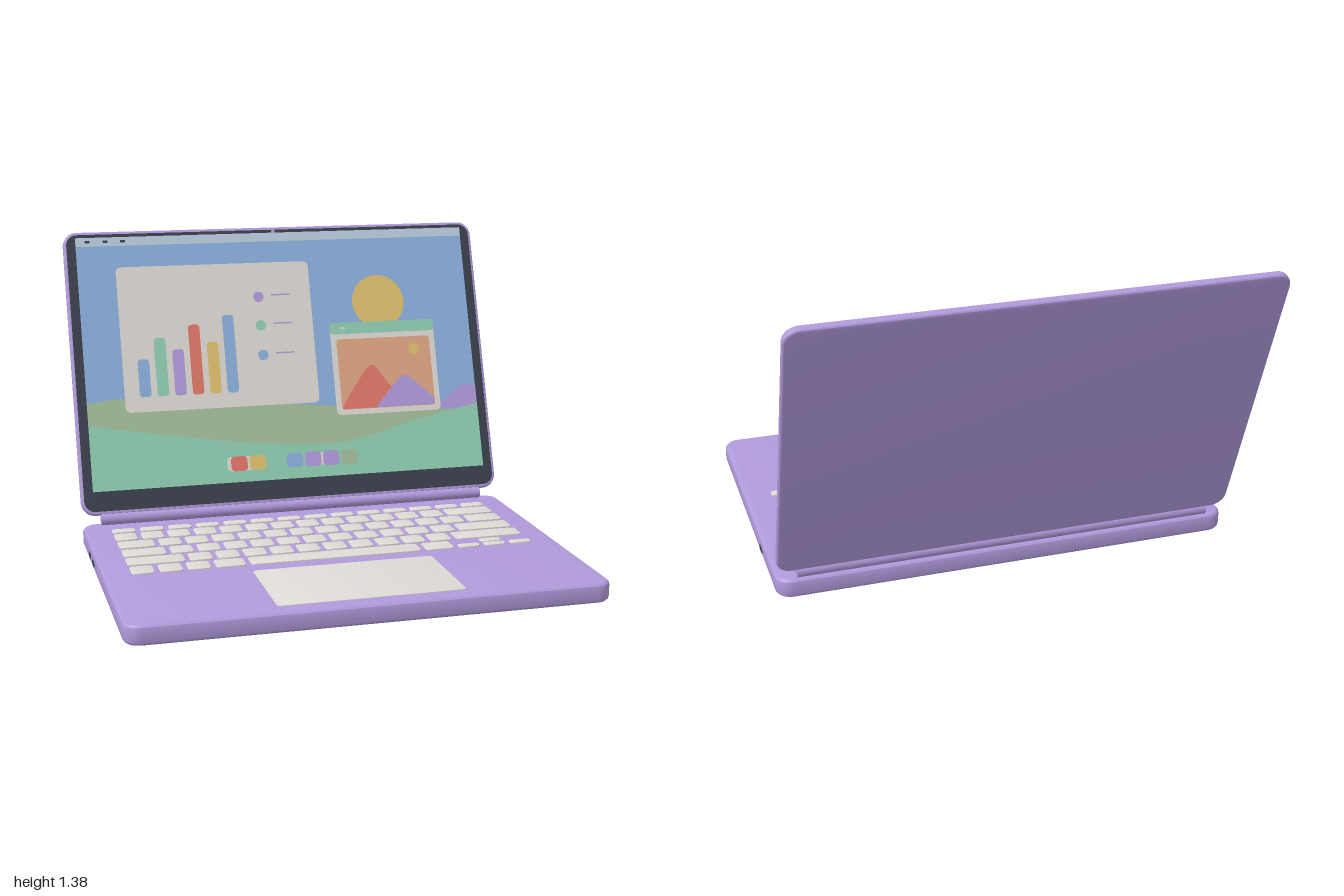
import * as THREE from 'three';
import { toCreasedNormals } from 'three/addons/utils/BufferGeometryUtils.js';

const COLORS = {
  lilac: 0xb09adb, offWhite: 0xdedad5, darkGlass: 0x3a3f4b, skyBlue: 0x8cb0de, mint: 0x90ceb2,
  olive: 0xa4be9b, yellow: 0xdfc06c, red: 0xe07868, orange: 0xdfa685, paleBlue: 0xbacddf,
};

export function createModel() {
  const M = {};
  for (const [name, color] of Object.entries(COLORS)) {
    M[name] = new THREE.MeshStandardMaterial({ color });
    M[name].name = name;
  }
  const model = new THREE.Group();
  model.name = 'laptop';

  const add = (parent, name, geo, mat) => {
    const mesh = new THREE.Mesh(geo, mat);
    mesh.name = name;
    parent.add(mesh);
    return mesh;
  };

  // Rounded rectangle centred on the origin
  const roundRect = (w, h, r) => {
    const s = new THREE.Shape(), x = w / 2, y = h / 2;
    r = Math.min(r, x, y);
    s.moveTo(-x + r, -y);
    s.lineTo(x - r, -y).absarc(x - r, -y + r, r, -Math.PI / 2, 0);
    s.lineTo(x, y - r).absarc(x - r, y - r, r, 0, Math.PI / 2);
    s.lineTo(-x + r, y).absarc(-x + r, y - r, r, Math.PI / 2, Math.PI);
    s.lineTo(-x, -y + r).absarc(-x + r, -y + r, r, Math.PI, Math.PI * 1.5);
    return s;
  };

  // Bevelled slab, thickness t along z, centred
  const slab = (w, h, r, t, b, curveSegments = 6) => {
    const g = new THREE.ExtrudeGeometry(roundRect(w - 2 * b, h - 2 * b, Math.max(r - b, 0.002)), {
      depth: t - 2 * b, bevelEnabled: true, bevelSize: b, bevelThickness: b, bevelSegments: 3, curveSegments,
    });
    g.translate(0, 0, -(t - 2 * b) / 2);
    return toCreasedNormals(g, 0.5);
  };
  const flatSlab = (...args) => slab(...args).rotateX(-Math.PI / 2);

  // ---- Base ----
  const base = new THREE.Group();
  base.name = 'base';
  model.add(base);
  add(base, 'baseShell', flatSlab(1.994, 1.38, 0.07, 0.085, 0.02), M.lilac).position.set(0, 0.0555, 0.22);
  add(base, 'trackpad', flatSlab(0.78, 0.445, 0.02, 0.01, 0.003), M.offWhite).position.set(0, 0.0965, 0.612);

  for (const x of [-0.81, 0.81]) for (const z of [-0.33, 0.77]) {
    add(base, 'foot', new THREE.CylinderGeometry(0.034, 0.03, 0.018, 20), M.darkGlass).position.set(x, 0.009, z);
  }
  for (const [side, z] of [[1, -0.092], [-1, -0.145], [-1, -0.03]]) {
    const port = add(base, 'port', slab(0.058, 0.024, 0.012, 0.008, 0.002), M.darkGlass);
    port.rotation.y = side * Math.PI / 2;
    port.position.set(side * 0.996, 0.05, z);
  }

  // ---- Keyboard: widths in key units, rows from back to front ----
  const keyboard = new THREE.Group();
  keyboard.name = 'keyboard';
  base.add(keyboard);
  const unit = 0.1187, gap = 0.021, startX = -0.88;
  const key = (u0, u, z0, z1) => {
    const w = u * unit - gap;
    add(keyboard, 'key', flatSlab(w, z1 - z0, 0.016, 0.014, 0.004, 3), M.offWhite)
      .position.set(startX + u0 * unit + w / 2, 0.098, (z0 + z1) / 2);
  };
  const ones = (n) => Array(n).fill(1);
  const rows = [
    [-0.33, -0.277, Array(14).fill(15 / 14)],
    [-0.256, -0.16, [...ones(13), 2]],
    [-0.139, -0.043, [1.5, ...ones(12), 1.5]],
    [-0.018, 0.078, [1.75, ...ones(11), 2.25]],
    [0.1, 0.197, [2.25, ...ones(10), 2.75]],
    [0.219, 0.315, [1, 1, 1, 1.25, 6.5, 1.25]],
  ];
  for (const [z0, z1, widths] of rows) {
    let u = 0;
    for (const w of widths) { key(u, w, z0, z1); u += w; }
  }
  for (const u of [12, 13, 14]) key(u, 1, 0.273, 0.315);
  key(13, 1, 0.219, 0.261);

  // ---- Hinge ----
  const hinge = add(model, 'hinge', new THREE.CylinderGeometry(0.028, 0.028, 1.82, 24), M.lilac);
  hinge.rotation.z = Math.PI / 2;
  hinge.position.set(0, 0.123, -0.438);

  // ---- Lid, leaning back about the hinge ----
  const lid = new THREE.Group();
  lid.name = 'lid';
  lid.position.set(0, 0.123, -0.436);
  lid.rotation.x = -THREE.MathUtils.degToRad(20);
  model.add(lid);
  add(lid, 'lidShell', slab(1.994, 1.315, 0.065, 0.036, 0.011), M.lilac).position.y = 0.6755;

  // Flat faces stacked in layers on the front of the lid
  const face = (name, shape, mat, layer, x = 0, y = 0) =>
    add(lid, name, new THREE.ShapeGeometry(shape, 10), mat).position.set(x, y, 0.0185 + layer * 0.0016);
  const panel = (name, x0, x1, y0, y1, r, mat, layer) =>
    face(name, roundRect(x1 - x0, y1 - y0, r), mat, layer, (x0 + x1) / 2, (y0 + y1) / 2);
  const disc = (name, x, y, r, mat, layer) =>
    face(name, new THREE.Shape().absarc(0, 0, r, 0, Math.PI * 2), mat, layer, x, y);
  const hill = (name, floor, pts, mat, layer) => {
    const v = pts.map(([x, y]) => new THREE.Vector2(x, y));
    const s = new THREE.Shape();
    s.moveTo(v[0].x, floor);
    s.lineTo(v[0].x, v[0].y);
    s.splineThru(v.slice(1));
    s.lineTo(v[v.length - 1].x, floor);
    face(name, s, mat, layer);
  };

  panel('screenGlass', -0.983, 0.983, 0.034, 1.319, 0.05, M.darkGlass, 0);
  disc('camera', 0, 1.311, 0.009, M.lilac, 1);
  panel('sky', -0.941, 0.941, 0.124, 1.304, 0.002, M.skyBlue, 1);
  panel('menuBar', -0.941, 0.941, 1.262, 1.304, 0.002, M.paleBlue, 2);
  for (const x of [-0.886, -0.803, -0.722]) panel('menuItem', x - 0.012, x + 0.012, 1.278, 1.29, 0.004, M.darkGlass, 3);

  // Landscape
  hill('farHill', 0.415, [[0.72, 0.4151], [0.8, 0.475], [0.88, 0.525], [0.941, 0.516]], M.lilac, 2.5);
  hill('middleHill', 0.124, [[-0.941, 0.5275], [-0.74, 0.543], [-0.31, 0.516], [0.24, 0.454], [0.75, 0.41], [0.941, 0.425]], M.olive, 2);
  hill('nearHill', 0.124, [[-0.941, 0.425], [-0.203, 0.306], [0.235, 0.279], [0.6, 0.36], [0.941, 0.43]], M.mint, 3);
  disc('sun', 0.489, 0.95, 0.13, M.yellow, 2);

  // Chart window
  panel('chartWindow', -0.765, 0.155, 0.476, 1.159, 0.025, M.offWhite, 4);
  const bars = [['skyBlue', 0.721], ['mint', 0.818], ['lilac', 0.761], ['red', 0.874], ['yellow', 0.789], ['skyBlue', 0.914]];
  bars.forEach(([c, top], i) => {
    const x = -0.668 + i * 0.0825;
    panel('chartBar', x - 0.027, x + 0.027, 0.545, top, 0.015, M[c], 5);
  });
  for (const [c, y] of [['lilac', 0.994], ['mint', 0.857], ['skyBlue', 0.715]]) {
    disc('legendDot', -0.099, y, 0.025, M[c], 5);
    panel('legendLine', -0.037, 0.053, y + 0.004, y + 0.011, 0.003, M.lilac, 5);
  }

  // Photo window
  panel('photoWindow', 0.235, 0.754, 0.408, 0.83, 0.025, M.offWhite, 4);
  panel('photoTitleBar', 0.235, 0.754, 0.797, 0.852, 0.015, M.mint, 5);
  panel('titleMark', 0.285, 0.31, 0.822, 0.83, 0.003, M.offWhite, 6);
  panel('photo', 0.262, 0.727, 0.433, 0.772, 0.015, M.orange, 5);
  disc('photoSun', 0.642, 0.71, 0.027, M.yellow, 6);
  hill('photoRedPeak', 0.435, [[0.268, 0.45], [0.348, 0.562], [0.428, 0.641], [0.508, 0.54], [0.599, 0.437]], M.red, 6);
  hill('photoLilacPeak', 0.435, [[0.43, 0.437], [0.519, 0.533], [0.583, 0.584], [0.642, 0.545], [0.722, 0.47]], M.lilac, 6.5);

  // Dock icons
  panel('dockPlate', -0.313, -0.13, 0.176, 0.243, 0.02, M.offWhite, 4);
  panel('dockPlate', 0.1, 0.19, 0.18, 0.238, 0.01, M.offWhite, 4);
  const icons = ['red', 'yellow', 'mint', 'skyBlue', 'lilac', 'lilac', 'olive'];
  icons.forEach((c, i) => {
    const x = -0.256 + i * 0.0885;
    panel('dockIcon', x - 0.039, x + 0.039, 0.175, 0.244, 0.018, M[c], 5);
  });

  return model;
}
